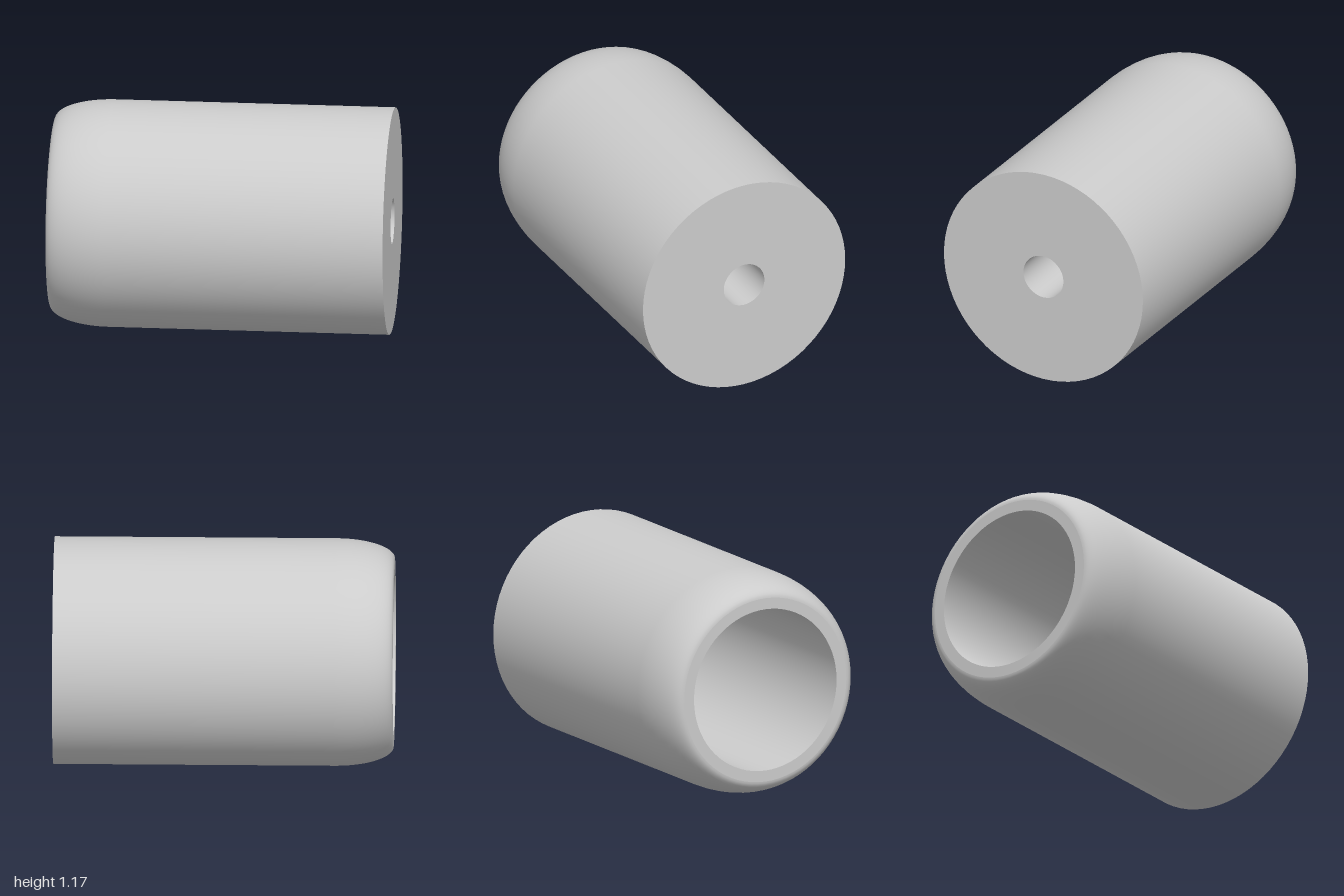
import * as THREE from 'three';

const R = 0.583;      // outer radius
const BORE = 0.425;   // front opening radius
const HOLE = 0.117;   // small rear hole radius
const BACK = -0.833;  // axial position of the flat end
const FRONT = 0.909;  // axial position of the open end
const FLOOR = BACK + 0.32;
const NOSE = { length: 0.3, depth: 0.1 }; // long, shallow rounding of the front rim

export function createModel() {
  const model = new THREE.Group();
  const sleeve = new THREE.Group();
  sleeve.name = 'sleeve';
  const material = new THREE.MeshStandardMaterial({ color: 0xcccccc });

  // Each section is its own lathe, so the edges between them stay sharp
  const addSection = (name, points) => {
    const profile = points.map(([r, y]) => new THREE.Vector2(r, y));
    const mesh = new THREE.Mesh(new THREE.LatheGeometry(profile, 72), material);
    mesh.name = name;
    sleeve.add(mesh);
  };

  // Outer wall with elliptical rounding towards the front
  const wall = [[R, BACK]];
  for (let i = 0; i <= 16; i++) {
    const a = (i / 16) * Math.PI / 2;
    wall.push([
      R - NOSE.depth * (1 - Math.cos(a)),
      FRONT - NOSE.length * (1 - Math.sin(a)),
    ]);
  }

  addSection('outerWall', wall);
  addSection('frontRim', [[R - NOSE.depth, FRONT], [BORE, FRONT]]);
  addSection('boreWall', [[BORE, FRONT], [BORE, FLOOR]]);
  addSection('boreFloor', [[BORE, FLOOR], [HOLE, FLOOR]]);
  addSection('rearHole', [[HOLE, FLOOR], [HOLE, BACK]]);
  addSection('backFace', [[HOLE, BACK], [R, BACK]]);

  // Lay the sleeve down and turn its open end diagonally to the front
  sleeve.rotation.set(Math.PI / 2, -Math.PI / 4, 0, 'YXZ');
  sleeve.position.y = R;
  model.add(sleeve);
  return model;
}
